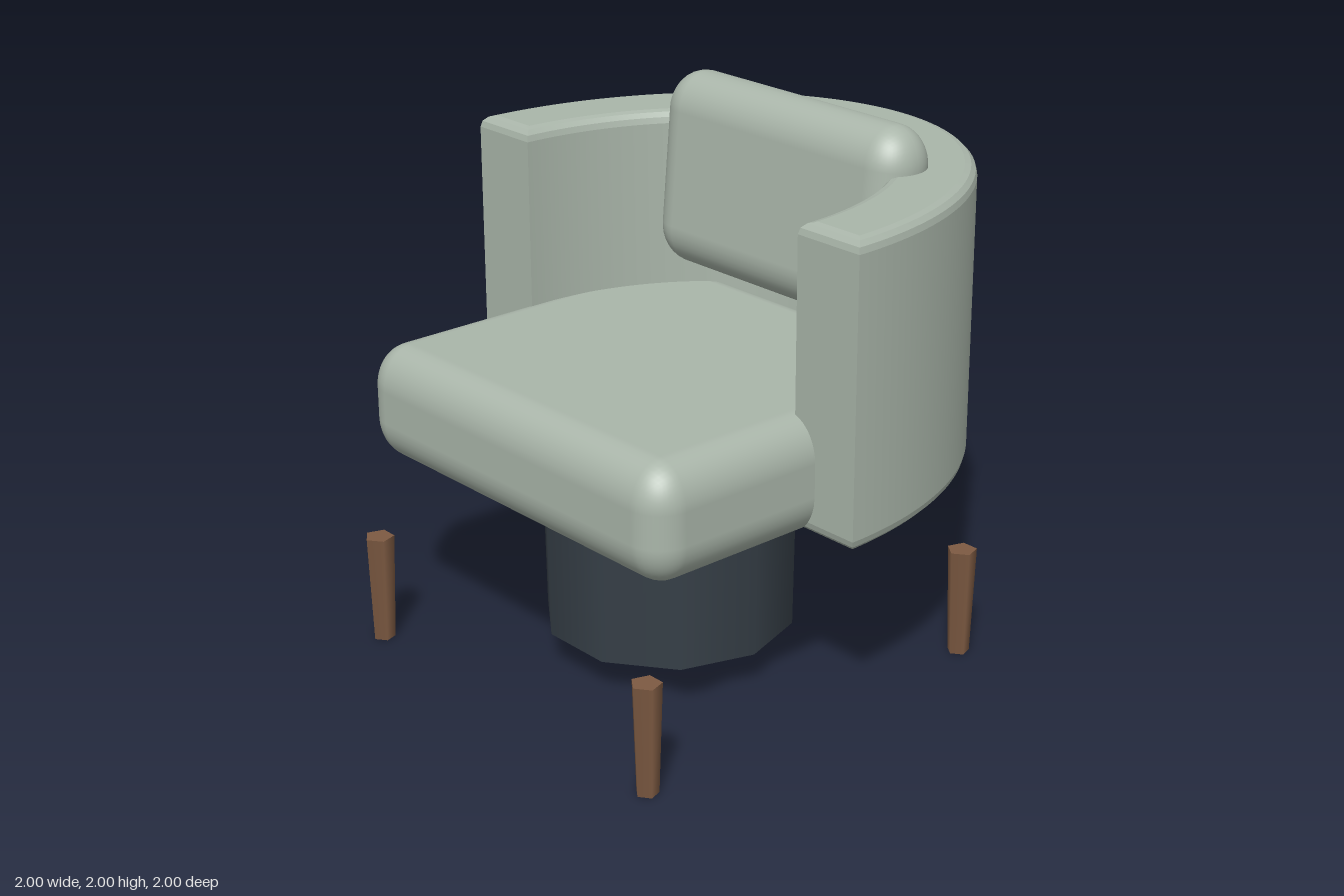
import * as THREE from 'three';
import { RoundedBoxGeometry } from 'three/addons/geometries/RoundedBoxGeometry.js';
import { toCreasedNormals } from 'three/addons/utils/BufferGeometryUtils.js';

const fabric = new THREE.MeshStandardMaterial({ color: 0xaab6aa });
const darkBase = new THREE.MeshStandardMaterial({ color: 0x363f47 });
const wood = new THREE.MeshStandardMaterial({ color: 0x7d5a42 });

function part(parent, name, geometry, material, x, y, z) {
  const mesh = new THREE.Mesh(geometry, material);
  mesh.name = name;
  mesh.position.set(x, y, z);
  parent.add(mesh);
  return mesh;
}

// Padded box whose rounded edges are a little taller than they are deep
function cushion(width, height, depth, radius, stretch) {
  const geometry = new RoundedBoxGeometry(width, height / stretch, depth, 5, radius);
  return geometry.scale(1, stretch, 1);
}

// Curved wall: half an elliptical ring, extruded upwards with soft edges
function shellGeometry(bottom, top, armFront) {
  const bevel = 0.045;
  const shape = new THREE.Shape();
  shape.moveTo(1, -armFront);
  shape.absellipse(0, -armFront, 1, 1 - -armFront, 0, Math.PI, false);
  shape.lineTo(-0.715, -armFront);
  shape.absellipse(0, -armFront, 0.715, 0.67 + armFront, Math.PI, 0, true);
  shape.closePath();
  const geometry = new THREE.ExtrudeGeometry(shape, {
    depth: top - bottom - 2 * bevel,
    curveSegments: 48,
    bevelThickness: bevel,
    bevelSize: bevel,
    bevelOffset: -bevel,
    bevelSegments: 3,
  });
  geometry.rotateX(-Math.PI / 2);
  geometry.translate(0, bottom + bevel, 0);
  return toCreasedNormals(geometry, 0.25);
}

export function createModel() {
  const chair = new THREE.Group();
  chair.name = 'armchair';

  // Wrap-around back and arms
  part(chair, 'backShell', shellGeometry(0.74, 1.845, 0.235), fabric, 0, 0, 0);

  // Seat cushion
  part(chair, 'seatCushion', cushion(1.63, 0.435, 1.51, 0.13, 1.2), fabric, 0, 0.948, 0.185);

  // Leaning back cushion
  const back = part(chair, 'backCushion', cushion(1.23, 0.74, 0.266, 0.131, 1.15), fabric, 0, 1.63, -0.413);
  back.rotation.x = -0.09;

  // Ten-sided pedestal
  const pedestal = new THREE.CylinderGeometry(0.475, 0.467, 0.53, 10);
  pedestal.rotateY(Math.PI / 2);
  part(chair, 'pedestal', pedestal, darkBase, 0, 0.4, 0.183);

  // Four tapered five-sided legs
  const leg = new THREE.CylinderGeometry(0.056, 0.042, 0.415, 5);
  for (const [end, z] of [['front', 0.944], ['back', -0.582]]) {
    for (const [side, x] of [['Left', 0.76], ['Right', -0.76]]) {
      part(chair, `${end}${side}Leg`, leg, wood, x, 0.2075, z);
    }
  }

  return chair;
}
